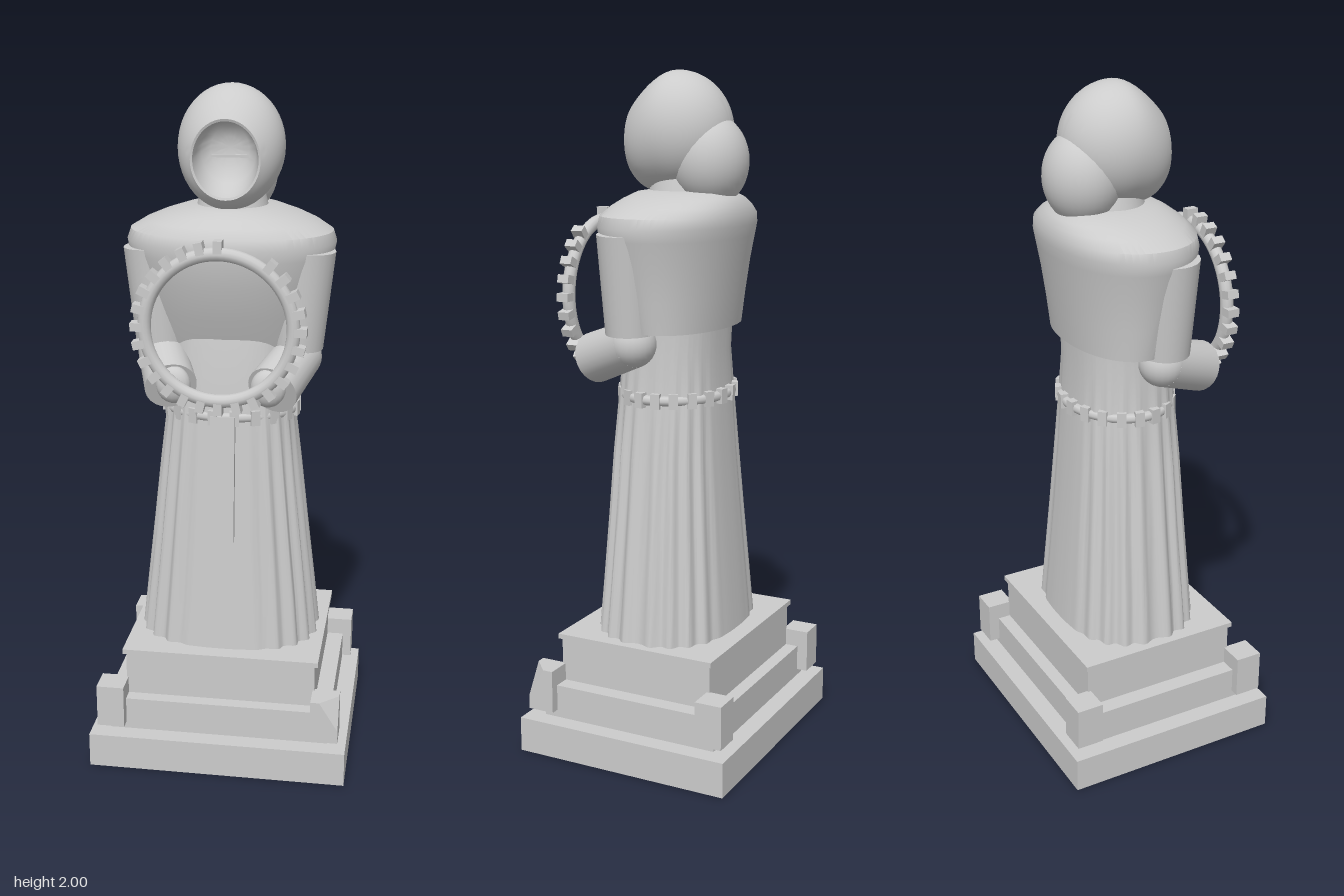
import * as THREE from 'three';
import { toCreasedNormals } from 'three/addons/utils/BufferGeometryUtils.js';
import { ConvexGeometry } from 'three/addons/geometries/ConvexGeometry.js';

const stone = new THREE.MeshStandardMaterial({ color: 0xcccccc });
const V = (x, y, z) => new THREE.Vector3(x, y, z);

function add(parent, name, geometry, x = 0, y = 0, z = 0) {
  const mesh = new THREE.Mesh(geometry, stone);
  mesh.name = name;
  mesh.position.set(x, y, z);
  parent.add(mesh);
  return mesh;
}

function slab(parent, name, halfX, halfZ, y0, y1) {
  return add(parent, name, new THREE.BoxGeometry(halfX * 2, y1 - y0, halfZ * 2), 0, (y0 + y1) / 2, 0);
}

// Closed skin over horizontal rounded sections [y, halfX, frontZ, backZ]
function loft(levels, power, sides, pleat = () => 0) {
  const pos = [], index = [];
  const bend = (v) => Math.sign(v) * Math.abs(v) ** (2 / power);
  levels.forEach(([y, hx, zf, zb]) => {
    for (let j = 0; j < sides; j++) {
      const a = (j / sides) * Math.PI * 2;
      const k = 1 + pleat(a, y);
      pos.push(hx * k * bend(Math.sin(a)), y, (zf + zb) / 2 + ((zf - zb) / 2) * k * bend(Math.cos(a)));
    }
  });
  for (let i = 0; i < levels.length - 1; i++) {
    for (let j = 0; j < sides; j++) {
      const a = i * sides + j, b = i * sides + ((j + 1) % sides);
      index.push(a, b, b + sides, a, b + sides, a + sides);
    }
  }
  const last = levels.length - 1, n = last * sides, c = pos.length / 3;
  for (const i of [0, last]) pos.push(0, levels[i][0], (levels[i][2] + levels[i][3]) / 2);
  for (let j = 0; j < sides; j++) {
    const k = (j + 1) % sides;
    index.push(k, j, c, n + j, n + k, c + 1);
  }
  const g = new THREE.BufferGeometry();
  g.setAttribute('position', new THREE.Float32BufferAttribute(pos, 3));
  g.setIndex(index);
  return toCreasedNormals(g, 0.7);
}

// Tapered limb between two points
function limb(parent, name, from, to, r0, r1) {
  const dir = to.clone().sub(from);
  const mesh = add(parent, name, new THREE.CylinderGeometry(r1, r0, dir.length(), 24));
  mesh.position.copy(from).addScaledVector(dir, 0.5);
  mesh.quaternion.setFromUnitVectors(V(0, 1, 0), dir.normalize());
  return mesh;
}

function buildPedestal() {
  const g = new THREE.Group();
  g.name = 'pedestal';
  slab(g, 'plinth', 0.385, 0.335, 0, 0.105);
  slab(g, 'stepFoot', 0.33, 0.28, 0.1, 0.13);
  slab(g, 'lowerStep', 0.335, 0.285, 0.125, 0.208);
  slab(g, 'upperStep', 0.285, 0.245, 0.2, 0.345);
  slab(g, 'topLedge', 0.295, 0.253, 0.34, 0.355);
  for (const sx of [-1, 1]) {
    for (const sz of [-1, 1]) {
      if (sx > 0 && sz > 0) continue;
      add(g, 'cornerBlock', new THREE.BoxGeometry(0.082, 0.13, 0.082), sx * 0.321, 0.195, sz * 0.277);
    }
  }
  // Corner block with its outer top corner broken off
  const w = 0.041, h = 0.065;
  add(g, 'chippedCornerBlock', new ConvexGeometry([
    V(-w, -h, -w), V(w, -h, -w), V(-w, -h, w), V(w, -h, w), V(-w, h, -w), V(w, h, -w),
    V(-w, h, w), V(w, h, -0.01), V(-0.015, h, w), V(w, -0.025, w),
  ]), 0.321, 0.195, 0.277);
  return g;
}

function buildBelt() {
  const g = new THREE.Group();
  g.name = 'belt';
  const at = (a) => V(0.188 * Math.sin(a), 1.072, 0.152 * Math.cos(a));
  const pts = Array.from({ length: 32 }, (_, i) => at((i / 32) * Math.PI * 2));
  add(g, 'beltCord', new THREE.TubeGeometry(new THREE.CatmullRomCurve3(pts, true), 80, 0.015, 8, true));
  for (let i = 0; i < 20; i++) {
    const a = ((i + 0.5) / 20) * Math.PI * 2;
    const p = at(a);
    add(g, 'beltStud', new THREE.BoxGeometry(0.027, 0.044, 0.036), p.x, p.y, p.z).rotation.y = a;
  }
  return g;
}

function buildWheel() {
  const g = new THREE.Group();
  g.name = 'toothedWheel';
  g.position.set(0, 1.36, 0.25);
  add(g, 'wheelRim', new THREE.TorusGeometry(0.208, 0.019, 12, 72));
  const teeth = 28;
  for (let i = 0; i < teeth; i++) {
    // Two teeth are missing beside the top
    if (i === 5 || i === 6) continue;
    const a = (i / teeth) * Math.PI * 2;
    const tooth = add(g, 'tooth', new THREE.BoxGeometry(0.036, 0.024, 0.036),
      0.228 * Math.cos(a), 0.228 * Math.sin(a), 0);
    tooth.rotation.z = a;
  }
  return g;
}

function buildHead() {
  const g = new THREE.Group();
  g.name = 'head';
  // Hood turned around the front-back axis, folding inward at the face opening
  const profile = [];
  for (let i = 0; i <= 28; i++) {
    const t = -Math.PI / 2 + (i / 28) * (Math.PI / 2 + 0.87);
    profile.push(new THREE.Vector2(Math.cos(t), 0.163 * Math.sin(t)));
  }
  profile[0].x = 0;
  for (const [r, z] of [[0.605, 0.122], [0.57, 0.09], [0.5, 0.06], [0.36, 0.037], [0.18, 0.026], [0, 0.022]]) {
    profile.push(new THREE.Vector2(r, z));
  }
  const hood = new THREE.LatheGeometry(profile, 48);
  hood.rotateX(Math.PI / 2).scale(0.152, 0.172, 1);
  // The opening sits a little below the middle
  const p = hood.attributes.position;
  for (let i = 0; i < p.count; i++) {
    p.setY(i, p.getY(i) - 0.025 * THREE.MathUtils.smoothstep(p.getZ(i), 0, 0.12));
  }
  add(g, 'hood', toCreasedNormals(hood, 0.7), 0, 1.828, 0);
  add(g, 'eyeSlit', new THREE.BoxGeometry(0.12, 0.008, 0.02), 0, 1.803, 0.03);
  add(g, 'hoodFold', new THREE.SphereGeometry(1, 32, 20), 0, 1.745, -0.1).scale.set(0.12, 0.135, 0.113);
  add(g, 'neck', new THREE.CylinderGeometry(0.09, 0.11, 0.08, 32), 0, 1.67, -0.02);
  return g;
}

function buildArm(side) {
  const g = new THREE.Group();
  g.name = side > 0 ? 'leftArm' : 'rightArm';
  const elbow = V(side * 0.2, 1.235, 0.045), wrist = V(side * 0.145, 1.175, 0.2);
  limb(g, 'sleeve', V(side * 0.2, 1.265, 0.05), V(side * 0.218, 1.55, 0.05), 0.073, 0.087);
  add(g, 'elbow', new THREE.SphereGeometry(0.07, 24, 16), elbow.x, elbow.y, elbow.z);
  limb(g, 'forearm', elbow, wrist, 0.07, 0.075);
  add(g, 'hand', new THREE.SphereGeometry(1, 20, 14), side * 0.135, 1.185, 0.215).scale.set(0.05, 0.055, 0.032);
  return g;
}

export function createModel() {
  const model = new THREE.Group();
  model.name = 'hoodedStatue';
  model.add(buildPedestal());

  // Flaring robe, pleated most strongly along its sides
  const pleat = (a, y) => {
    const reach = THREE.MathUtils.smoothstep(Math.abs(Math.sin(a)), 0.15, 0.6);
    const fade = 1 - THREE.MathUtils.smoothstep(y, 1.0, 1.15);
    return 0.03 * reach * fade * Math.cos(a * 22);
  };
  add(model, 'robe', loft([
    [0.35, 0.266, 0.203, -0.2], [0.5, 0.25, 0.192, -0.188], [0.7, 0.227, 0.179, -0.172],
    [0.9, 0.205, 0.167, -0.157], [1.07, 0.187, 0.155, -0.147], [1.2, 0.178, 0.145, -0.14],
    [1.32, 0.178, 0.125, -0.145],
  ], 2.5, 176, pleat));

  // Hanging end of the sash, tilted to follow the robe
  const sash = add(model, 'sash', new THREE.BoxGeometry(0.072, 0.38, 0.022), -0.002, 0.888, 0.173);
  sash.rotation.x = -0.065;
  model.add(buildBelt());

  // Broad shoulder mantle over the chest
  add(model, 'mantle', loft([
    [1.27, 0.245, 0.118, -0.163], [1.36, 0.26, 0.155, -0.175], [1.46, 0.278, 0.188, -0.19],
    [1.53, 0.295, 0.202, -0.202], [1.565, 0.302, 0.205, -0.208], [1.595, 0.292, 0.2, -0.208],
    [1.62, 0.25, 0.175, -0.2], [1.64, 0.2, 0.148, -0.188], [1.658, 0.14, 0.115, -0.165],
    [1.665, 0.08, 0.07, -0.11],
  ], 2.1, 72));

  model.add(buildArm(1), buildArm(-1), buildWheel(), buildHead());
  return model;
}
